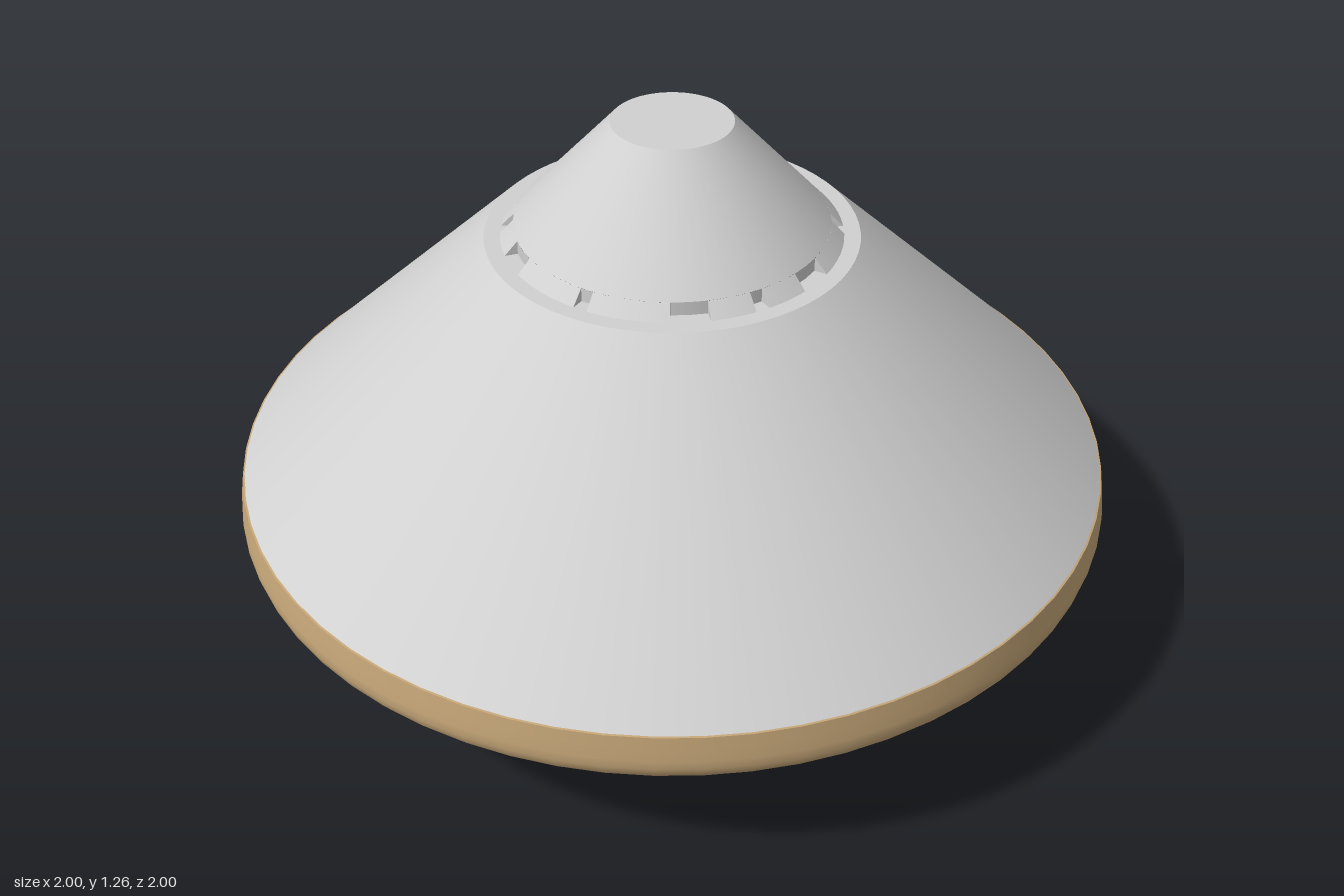
import * as THREE from 'three';

export function createModel() {
  const model = new THREE.Group();
  const grey = new THREE.MeshStandardMaterial({ color: 0xd0d0d0 });
  grey.name = 'light grey shell';
  const tan = new THREE.MeshStandardMaterial({ color: 0xc4a577 });
  tan.name = 'tan heat shield';
  const slotSide = grey.clone();
  slotSide.side = THREE.DoubleSide;

  // Surface of revolution; profile runs from the bottom up as [radius, y]
  const lathe = (name, profile, material, segments = 64, start = 0, length = Math.PI * 2) => {
    const points = profile.map(([r, y]) => new THREE.Vector2(r, y));
    const mesh = new THREE.Mesh(new THREE.LatheGeometry(points, segments, start, length), material);
    mesh.name = name;
    model.add(mesh);
    return mesh;
  };

  // Heat shield: blunt nose, shallow cone and rounded shoulder
  lathe('heatShield', [
    [0, 0], [0.05, 0.002], [0.1, 0.01], [0.14, 0.021], [0.17, 0.032], [0.2, 0.043],
    [0.5, 0.155], [0.93, 0.318], [0.965, 0.332], [0.982, 0.342], [0.993, 0.356],
    [0.998, 0.375], [0.997, 0.395], [0.992, 0.425], [0.988, 0.45],
  ], tan);
  lathe('shoulderRim', [[0.988, 0.45], [0.98, 0.452]], tan);

  // Back shell and the narrow ledge on top of it
  lathe('backShell', [[0.985, 0.45], [0.41, 1]], grey);
  lathe('ledge', [[0.41, 1], [0.335, 1]], grey);

  // Upper cone with its flat lid
  const rBase = 0.374, rSlot = 0.345, yBase = 1, ySlot = 1.031, yTop = 1.265, rTop = 0.132;
  lathe('upperCone', [[rSlot, ySlot], [rTop, yTop]], grey);
  lathe('topLid', [[rTop, yTop], [0, yTop]], grey);

  // Slots round the foot of the upper cone: [angle from the front, half width], in degrees
  const slots = [[0, 2.4], [180, 2.4]];
  for (const [angle, half] of [[36, 6.4], [60, 2.4], [84, 6.4], [120, 2.4], [156, 6.4]]) {
    slots.push([angle, half], [360 - angle, half]);
  }
  slots.sort((a, b) => a[0] - b[0]);

  // Triangular cheek closing the side of a slot
  const cheek = new THREE.ShapeGeometry(new THREE.Shape([
    new THREE.Vector2(rSlot, yBase), new THREE.Vector2(rBase, yBase), new THREE.Vector2(rSlot, ySlot),
  ]));

  slots.forEach(([angle, half], i) => {
    const start = THREE.MathUtils.degToRad(angle - half);
    const end = THREE.MathUtils.degToRad(angle + half);
    const [nextAngle, nextHalf] = slots[(i + 1) % slots.length];
    const next = THREE.MathUtils.degToRad(nextAngle - nextHalf + (i === slots.length - 1 ? 360 : 0));
    lathe('slotWall', [[rSlot, yBase], [rSlot, ySlot]], grey, 2, start, end - start);
    lathe('coneSkirt', [[rBase, yBase], [rSlot, ySlot]], grey, 6, end, next - end);
    for (const a of [start, end]) {
      const mesh = new THREE.Mesh(cheek, slotSide);
      mesh.name = 'slotCheek';
      mesh.rotation.y = a - Math.PI / 2;
      model.add(mesh);
    }
  });

  return model;
}
